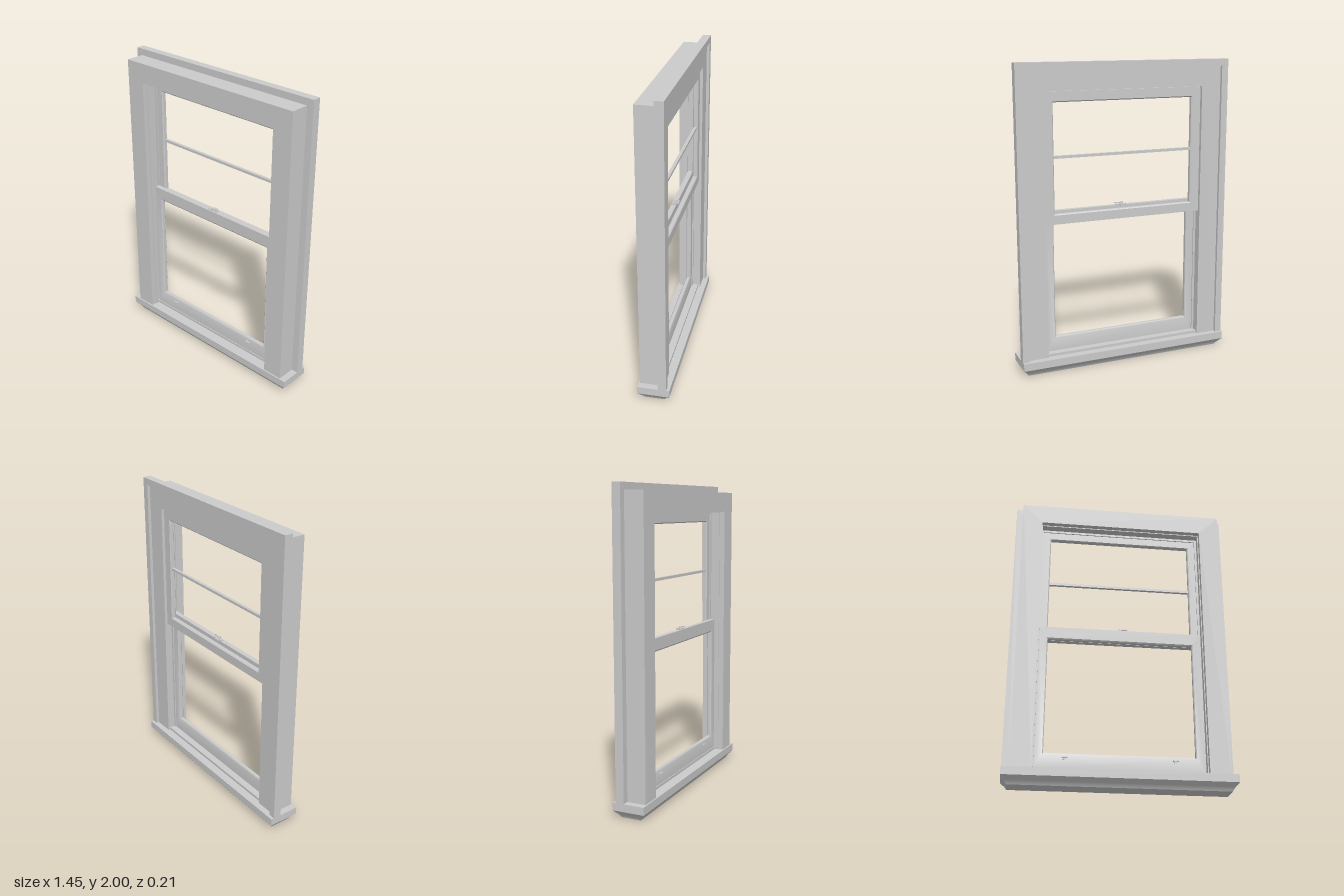
import * as THREE from 'three';
import { toCreasedNormals } from 'three/addons/utils/BufferGeometryUtils.js';

const material = new THREE.MeshStandardMaterial({ color: 0xcccccc });

function add(parent, name, geometry, x = 0, y = 0, z = 0) {
  const mesh = new THREE.Mesh(geometry, material);
  mesh.name = name;
  mesh.position.set(x, y, z);
  parent.add(mesh);
  return mesh;
}

// Mitred frame: a profile of [t, z] swept round a rectangle, where t runs from
// the outer rectangle (0) to the inner one (1). Rectangles are [halfWidth, y0, y1].
function mitredFrame(outer, inner, profile, { closed = true, bottom = true } = {}) {
  const corner = ([t, z], i) => {
    const r = outer.map((v, k) => v + (inner[k] - v) * t);
    return [i === 1 || i === 2 ? r[0] : -r[0], i < 2 ? r[1] : r[2], z];
  };
  const positions = [];
  const steps = closed ? profile.length : profile.length - 1;
  for (let k = 0; k < steps; k++) {
    const p = profile[k], q = profile[(k + 1) % profile.length];
    for (let i = bottom ? 0 : 1; i < 4; i++) {
      const j = (i + 1) % 4;
      const a = corner(p, i), b = corner(p, j), c = corner(q, j), d = corner(q, i);
      positions.push(...a, ...b, ...c, ...a, ...c, ...d);
    }
  }
  const geometry = new THREE.BufferGeometry();
  geometry.setAttribute('position', new THREE.Float32BufferAttribute(positions, 3));
  return toCreasedNormals(geometry, 0.6);
}

// Sash rails and stiles with a small glazing bevel front and back
function sashGeometry(outer, inner, back, front) {
  return mitredFrame(outer, inner, [
    [0, back], [0, front], [0.9, front], [1, front - 0.006],
    [1, back + 0.006], [0.9, back],
  ]);
}

export function createModel() {
  const model = new THREE.Group();
  model.name = 'window';

  // Casing and jambs: back flange, front casing, tracks and parting bead
  add(model, 'casing', mitredFrame([0.725, 0.09, 2], [0.545, 0.09, 1.825], [
    [0, -0.084], [0, -0.029], [0.25, -0.029], [0.25, 0.096],
    [1, 0.096], [1, 0.06], [1.03, 0.06], [1.03, 0.036], [1, 0.036],
    [1, -0.003], [1.085, -0.003], [1.085, -0.011], [1, -0.011],
    [1, -0.064], [0.25, -0.064], [0.25, -0.084],
  ], { bottom: false }));

  // Moulded sill: the profile is swept round its plan, then laid flat
  const sill = add(model, 'sill', mitredFrame([0.725, -0.105, 0.105], [0.62, 0, 0], [
    [1, 0], [0.37, 0], [0.33, 0.008], [0.27, 0.018], [0.2, 0.027],
    [0.1, 0.038], [0, 0.05], [0, 0.1], [1, 0.1],
  ], { closed: false }));
  sill.rotation.x = -Math.PI / 2;
  add(model, 'innerSill', new THREE.BoxGeometry(1.09, 0.025, 0.085), 0, 0.105, -0.0075);

  // Upper sash in the rear track
  const upper = new THREE.Group();
  upper.name = 'upperSash';
  model.add(upper);
  add(upper, 'upperSashFrame', sashGeometry([0.543, 0.985, 1.822], [0.478, 1.05, 1.755], -0.045, -0.011));
  add(upper, 'muntin', new THREE.BoxGeometry(0.97, 0.017, 0.02), 0, 1.413, -0.028);

  // Lower sash in the front track
  const lower = new THREE.Group();
  lower.name = 'lowerSash';
  model.add(lower);
  add(lower, 'lowerSashFrame', sashGeometry([0.533, 0.115, 1.065], [0.475, 0.215, 0.98], -0.003, 0.03));

  // Sash lock on the meeting rail
  const lock = new THREE.Group();
  lock.name = 'sashLock';
  lock.position.set(0, 1.065, 0.01);
  model.add(lock);
  add(lock, 'lockBase', new THREE.BoxGeometry(0.075, 0.005, 0.02), 0, 0.0025, 0);
  add(lock, 'lockCam', new THREE.CylinderGeometry(0.01, 0.012, 0.014, 16), 0, 0.011, 0);
  const lever = add(lock, 'lockLever', new THREE.BoxGeometry(0.045, 0.005, 0.009), 0.025, 0.013, 0.003);
  lever.rotation.y = -0.15;
  add(lock, 'lockKeeper', new THREE.BoxGeometry(0.036, 0.01, 0.014), 0, 0.003, -0.02);

  // Finger lifts on the bottom rail
  for (const side of [-1, 1]) {
    const lift = new THREE.Group();
    lift.name = side > 0 ? 'leftFingerLift' : 'rightFingerLift';
    lift.position.set(side * 0.345, 0.185, 0.03);
    model.add(lift);
    add(lift, 'liftPlate', new THREE.BoxGeometry(0.02, 0.016, 0.004), 0, -0.002, 0.002);
    add(lift, 'liftLip', new THREE.BoxGeometry(0.036, 0.005, 0.012), 0, 0.003, 0.006);
  }
  return model;
}
